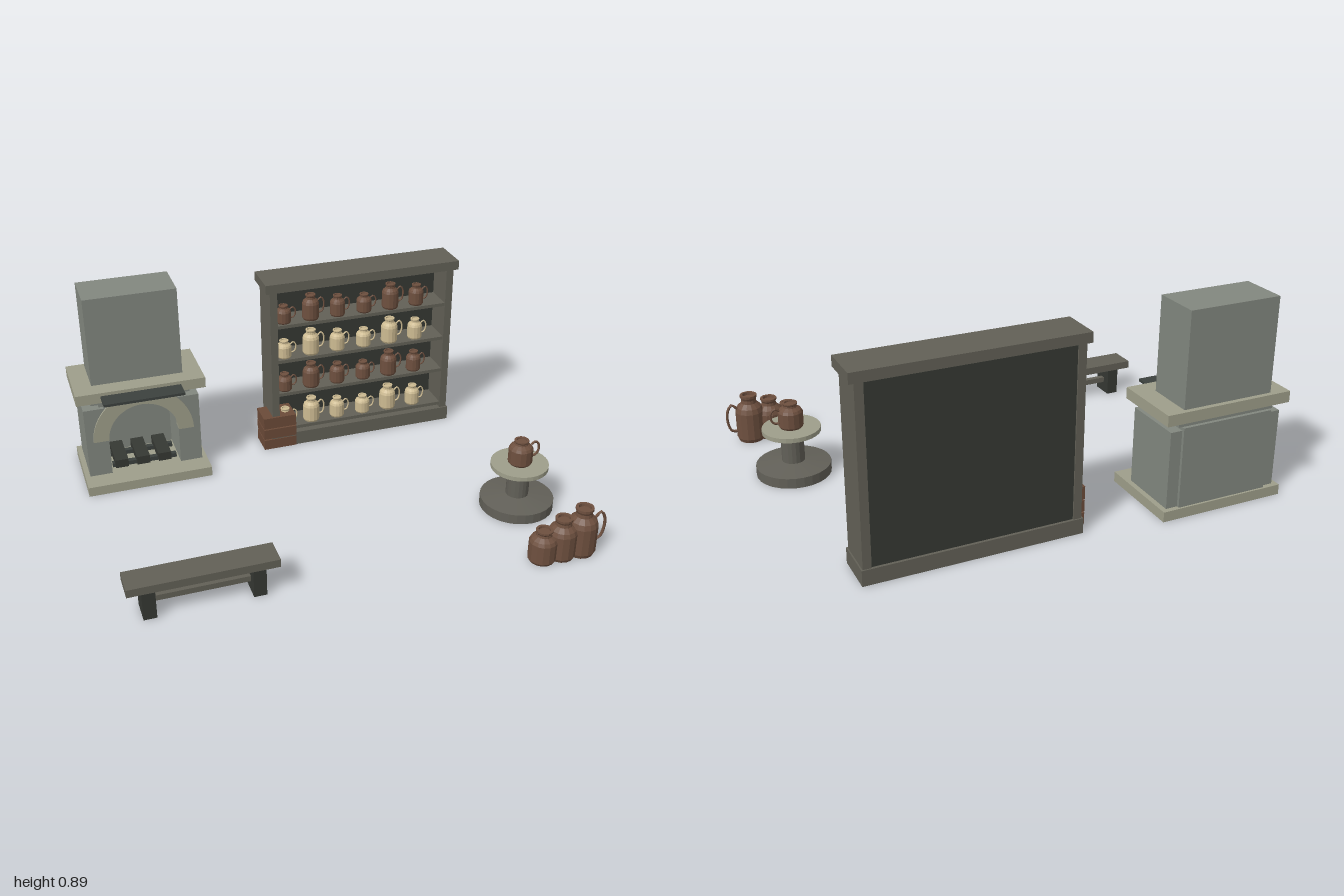
import * as THREE from 'three';

const mat = (color, extra = {}) => new THREE.MeshStandardMaterial({ color, ...extra });
const stone = mat(0x82877f), paleStone = mat(0x9e9e8a), wood = mat(0x626056);
const darkWood = mat(0x353833), iron = mat(0x3c413e), crateWood = mat(0x6b4a38);
const brownClay = mat(0x6e503f, { flatShading: true });
const creamClay = mat(0xcdbb92, { flatShading: true });
const wheelStone = mat(0x626058, { flatShading: true });
const wheelTop = mat(0x9e9e8a, { flatShading: true });

function add(parent, name, geometry, material, x = 0, y = 0, z = 0) {
  const mesh = new THREE.Mesh(geometry, material);
  mesh.name = name;
  mesh.position.set(x, y, z);
  parent.add(mesh);
  return mesh;
}

// Box given by its limits on each axis
function box(parent, name, material, [x0, x1], [y0, y1], [z0, z1]) {
  return add(parent, name, new THREE.BoxGeometry(x1 - x0, y1 - y0, z1 - z0), material,
    (x0 + x1) / 2, (y0 + y1) / 2, (z0 + z1) / 2);
}

function group(parent, name, x = 0, y = 0, z = 0) {
  const g = new THREE.Group();
  g.name = name;
  g.position.set(x, y, z);
  parent.add(g);
  return g;
}

// Turned jug with a loop handle on its +x side
function jug(parent, name, material, r, h, x, y, z) {
  const g = group(parent, name, x, y, z);
  const profile = [[0, 0], [0.88, 0], [1, 0.08], [1, 0.64], [0.88, 0.74], [0.56, 0.83],
    [0.52, 0.9], [0.6, 0.95], [0.6, 1], [0.42, 1], [0.4, 0.94], [0, 0.94]]
    .map(([a, b]) => new THREE.Vector2(a * r, b * h));
  add(g, 'jugBody', new THREE.LatheGeometry(profile, 14), material);
  const curve = new THREE.CatmullRomCurve3([[0.9, 0.72], [1.25, 0.82], [1.58, 0.68],
    [1.6, 0.42], [1.35, 0.24], [0.92, 0.22]].map(([a, b]) => new THREE.Vector3(a * r, b * h, 0)));
  add(g, 'jugHandle', new THREE.TubeGeometry(curve, 12, r * 0.1, 6), material);
}

function fireplace(root) {
  const g = group(root, 'fireplace');
  const cx = -0.71;
  box(g, 'hearthSlab', paleStone, [-0.995, -0.425], [0, 0.045], [-0.764, -0.375]);
  box(g, 'backWall', stone, [-0.92, -0.5], [0.045, 0.4], [-0.755, -0.68]);
  for (const s of [-1, 1]) {
    const a = cx + s * 0.16, b = cx + s * 0.262;
    box(g, 'jamb', stone, [Math.min(a, b), Math.max(a, b)], [0.045, 0.385], [-0.742, -0.472]);
  }
  box(g, 'lintel', stone, [-0.935, -0.485], [0.4, 0.43], [-0.74, -0.485]);
  box(g, 'fireboxRoof', stone, [-0.9, -0.52], [0.38, 0.405], [-0.74, -0.49]);
  box(g, 'mantel', paleStone, [-1, -0.416], [0.425, 0.474], [-0.764, -0.452]);
  box(g, 'chimney', stone, [-0.917, -0.503], [0.474, 0.887], [-0.743, -0.534]);
  box(g, 'ironShelf', iron, [-0.89, -0.528], [0.447, 0.459], [-0.366, -0.47]. sort((a, b) => a - b));

  // Half-ring arch over the firebox
  const arch = new THREE.Shape();
  arch.absarc(0, 0, 0.23, 0, Math.PI, false);
  arch.absarc(0, 0, 0.16, Math.PI, 0, true);
  add(g, 'arch', new THREE.ExtrudeGeometry(arch, { depth: 0.05, bevelEnabled: false, curveSegments: 24 }),
    paleStone, cx, 0.222, -0.513);

  // Logs on the hearth
  for (const x of [-0.82, -0.72, -0.62]) {
    box(g, 'log', darkWood, [x - 0.03, x + 0.03], [0.055, 0.095], [-0.67, -0.49]);
  }
  for (const z of [-0.63, -0.53]) {
    box(g, 'grateBar', iron, [-0.86, -0.56], [0.045, 0.065], [z - 0.012, z + 0.012]);
  }
}

function bench(root) {
  const g = group(root, 'bench');
  box(g, 'benchSeat', wood, [-0.985, -0.372], [0.128, 0.163], [0.443, 0.565]);
  for (const x of [-0.9, -0.457]) {
    box(g, 'benchLeg', darkWood, [x - 0.027, x + 0.027], [0, 0.128], [0.452, 0.558]);
  }
  box(g, 'benchStretcher', wood, [-0.873, -0.484], [0.05, 0.075], [0.492, 0.517]);
}

function displayShelf(root) {
  const g = group(root, 'displayShelf');
  box(g, 'shelfTop', wood, [-0.104, 0.845], [0.807, 0.85], [-0.7, -0.516]);
  box(g, 'shelfPlinth', wood, [-0.09, 0.83], [0, 0.067], [-0.7, -0.518]);
  box(g, 'shelfSide', wood, [-0.083, -0.048], [0.06, 0.81], [-0.694, -0.526]);
  box(g, 'shelfSide', wood, [0.789, 0.824], [0.06, 0.81], [-0.694, -0.526]);
  box(g, 'shelfBack', darkWood, [-0.05, 0.791], [0.06, 0.81], [-0.688, -0.668]);
  const heights = [0.085, 0.122, 0.1, 0.088, 0.122, 0.1];
  [0.097, 0.285, 0.459, 0.637].forEach((y, row) => {
    box(g, 'shelfBoard', wood, [-0.05, 0.791], [y - 0.016, y], [-0.675, -0.53]);
    heights.forEach((h, i) => {
      jug(g, 'shelfJug', row % 2 ? brownClay : creamClay, h > 0.11 ? 0.04 : 0.036, h,
        -0.008 + i * 0.1325, y, -0.57);
    });
  });
}

function crate(root) {
  const g = group(root, 'crate');
  box(g, 'crateCore', crateWood, [-0.122, 0.025], [0, 0.16], [-0.63, -0.524]);
  for (const [y0, y1] of [[0, 0.05], [0.056, 0.106], [0.112, 0.168]]) {
    box(g, 'crateSlat', crateWood, [-0.13, 0.03], [y0, y1], [-0.636, -0.514]);
  }
}

function pottersWheel(root) {
  const g = group(root, 'pottersWheel', 0.805, 0, 0.293);
  const lathe = (name, pts, m, n) => add(g, name,
    new THREE.LatheGeometry(pts.map(p => new THREE.Vector2(...p)), n), m);
  lathe('kickWheel', [[0, 0], [0.163, 0], [0.163, 0.045], [0.05, 0.06], [0, 0.06]], wheelStone, 28);
  add(g, 'wheelColumn', new THREE.CylinderGeometry(0.05, 0.05, 0.145, 18), wheelStone, 0, 0.128, 0);
  add(g, 'wheelHead', new THREE.CylinderGeometry(0.127, 0.127, 0.02, 28), wheelTop, 0, 0.207, 0);
  jug(g, 'wheelJug', brownClay, 0.054, 0.114, 0, 0.217, 0);
}

export function createModel() {
  const root = new THREE.Group();
  root.name = 'potteryWorkshop';
  fireplace(root);
  bench(root);
  displayShelf(root);
  crate(root);
  pottersWheel(root);
  // Row of floor jugs, growing to the left
  [[0.716, 0.15], [0.803, 0.19], [0.895, 0.222]].forEach(([x, h], i) =>
    jug(root, 'floorJug', brownClay, 0.06 + i * 0.002, h, x, 0, 0.7));
  return root;
}
